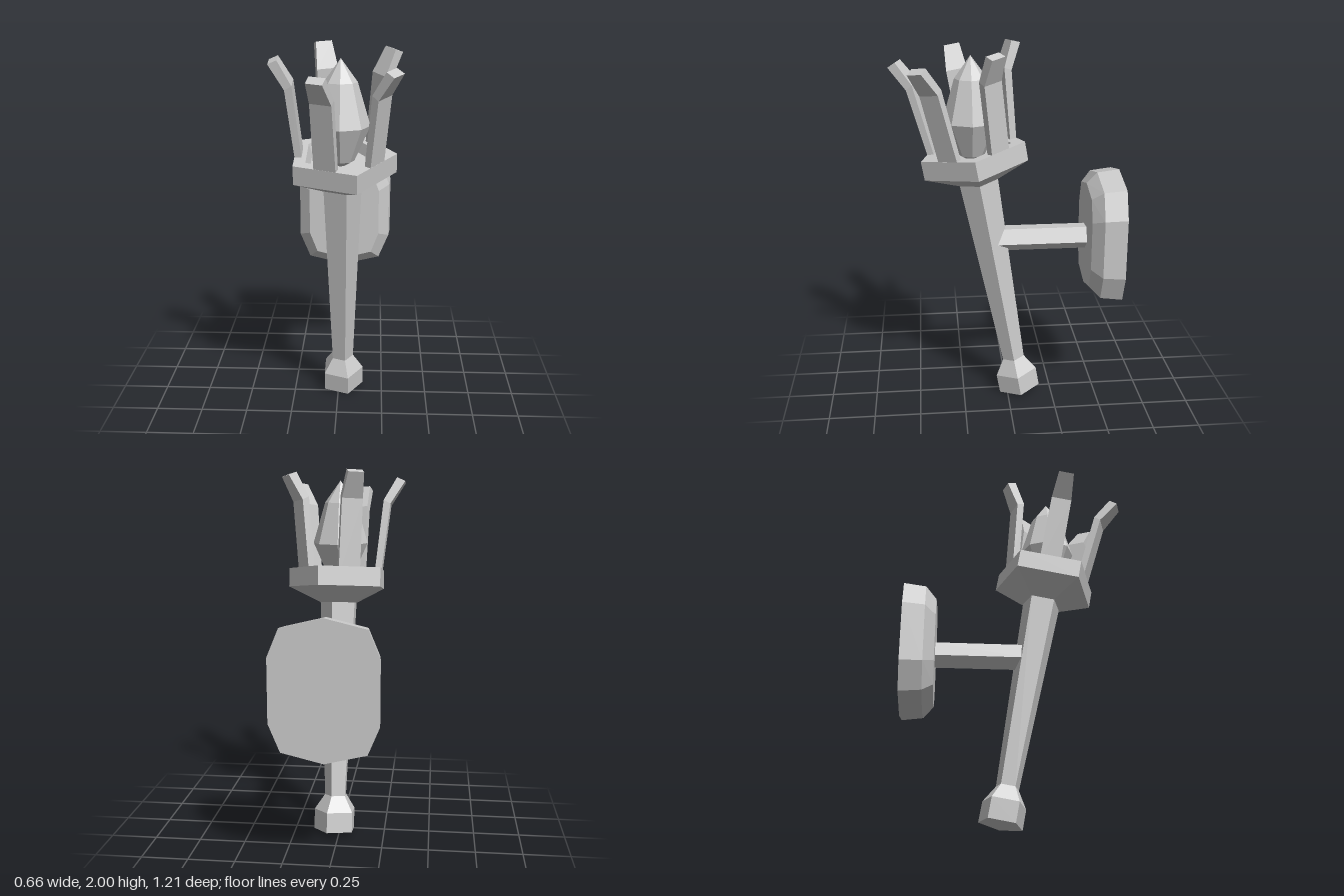
import * as THREE from 'three';

const material = new THREE.MeshStandardMaterial({ color: 0xcccccc, flatShading: true });

function part(name, geometry, parent) {
  const mesh = new THREE.Mesh(geometry, material);
  mesh.name = name;
  parent.add(mesh);
  return mesh;
}

// Turned solid with few sides; one corner points to +x
function turned(profile, sides) {
  const points = profile.map(([r, y]) => new THREE.Vector2(r, y));
  return new THREE.LatheGeometry(points, sides, Math.PI / 2);
}

// Closed solid through equal-length loops, counter-clockwise seen from the last one
function loft(loops) {
  const n = loops[0].length;
  const last = loops.length - 1;
  const index = [];
  for (let i = 0; i < last; i++) {
    for (let j = 0; j < n; j++) {
      const k = (j + 1) % n;
      const a = i * n + j, b = i * n + k, c = b + n, d = a + n;
      index.push(a, b, c, a, c, d);
    }
  }
  for (let j = 1; j < n - 1; j++) {
    index.push(0, j + 1, j);
    index.push(last * n, last * n + j, last * n + j + 1);
  }
  const geometry = new THREE.BufferGeometry();
  geometry.setAttribute('position', new THREE.Float32BufferAttribute(loops.flat(2), 3));
  geometry.setIndex(index);
  const flat = geometry.toNonIndexed();
  flat.computeVertexNormals();
  return flat;
}

export function createModel() {
  const model = new THREE.Group();
  model.name = 'wallTorch';

  // Torch leaning forward from the wall
  const torch = new THREE.Group();
  torch.name = 'torch';
  torch.position.set(0.02, 0.022, -0.07);
  torch.rotation.x = THREE.MathUtils.degToRad(10);
  model.add(torch);

  part('pommel', turned([[0, 0], [0.12, 0], [0.12, 0.11], [0.063, 0.195], [0, 0.195]], 5), torch);
  part('handle', turned([[0.063, 0.19], [0.108, 1.275]], 5), torch);
  part('cup', turned([
    [0, 1.27], [0.108, 1.27], [0.287, 1.355], [0.287, 1.457],
    [0.212, 1.457], [0.19, 1.4], [0, 1.4],
  ], 5), torch);

  // Five prongs standing on the flats of the cup, bent outward at the tips
  // Each row: inner radius, inner height, outer radius, outer height, half width
  const prongRows = [
    [0.19, 1.4, 0.225, 1.4, 0.058],
    [0.235, 1.83, 0.272, 1.81, 0.056],
    [0.305, 1.955, 0.35, 1.935, 0.042],
  ];
  const prongGeometry = loft(prongRows.map(([ri, yi, ro, yo, w]) => [
    [ro, yo, w], [ro, yo, -w], [ri, yi, -w], [ri, yi, w],
  ]));
  for (let i = 0; i < 5; i++) {
    part('prong', prongGeometry, torch).rotation.y = Math.PI / 5 + (i * 2 * Math.PI) / 5;
  }

  // Upright faceted flame
  const flame = part('flame', turned([
    [0, 1.38], [0.07, 1.42], [0.15, 1.6], [0.085, 1.82], [0, 1.937],
  ], 8), model);
  flame.position.set(0.02, 0, 0.185);

  // Five-sided arm from the wall plate into the handle
  const armLoop = (z) => Array.from({ length: 5 }, (_, i) => {
    const a = THREE.MathUtils.degToRad(59 + 72 * i);
    return [0.017 + 0.072 * Math.cos(a), 0.942 + 0.072 * Math.sin(a), z];
  });
  part('arm', loft([armLoop(-0.45), armLoop(0.06)]), model);

  // Wall plate with cut corners and a bevelled front
  const quarter = [[0.275, 0.165], [0.215, 0.31], [0, 0.362]];
  const mirrored = quarter.slice(0, 2).reverse().map(([x, y]) => [-x, y]);
  const half = [...quarter, ...mirrored];
  const outline = [...half, ...half.map(([x, y]) => [-x, -y])];
  const plateLoop = (sx, sy, z) => outline.map(([x, y]) => [0.017 + x * sx, 0.952 + y * sy, z]);
  part('wallPlate', loft([
    plateLoop(1, 1, -0.607),
    plateLoop(0.965, 0.96, -0.488),
    plateLoop(0.745, 0.8, -0.432),
  ]), model);

  return model;
}
